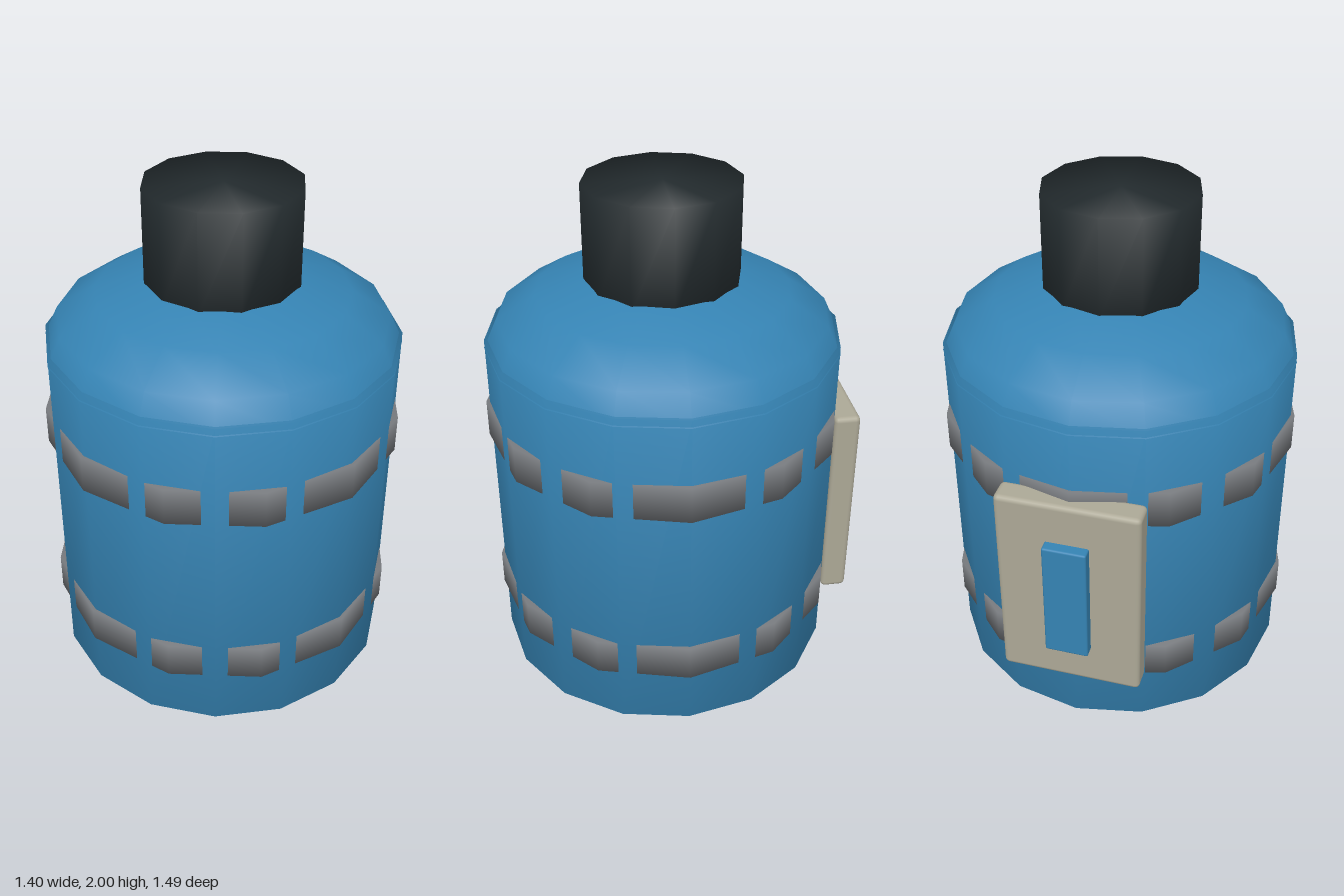
import * as THREE from 'three';
import { mergeVertices } from 'three/addons/utils/BufferGeometryUtils.js';
import { RoundedBoxGeometry } from 'three/addons/geometries/RoundedBoxGeometry.js';

const blue = new THREE.MeshStandardMaterial({ color: 0x3583b3 });
const dark = new THREE.MeshStandardMaterial({ color: 0x232b2e });
const steel = new THREE.MeshStandardMaterial({ color: 0x75787c });
const beige = new THREE.MeshStandardMaterial({ color: 0xaca896 });

// Share corners between walls and caps so the shading rolls over the edges
function smooth(geometry) {
  geometry.deleteAttribute('normal');
  geometry.deleteAttribute('uv');
  const merged = mergeVertices(geometry, 1e-4);
  merged.computeVertexNormals();
  return merged;
}

export function createModel() {
  const group = new THREE.Group();
  const axisZ = 0.04;

  const add = (name, geometry, material, y, z) => {
    const mesh = new THREE.Mesh(geometry, material);
    mesh.name = name;
    mesh.position.set(0, y, z);
    group.add(mesh);
    return mesh;
  };
  const drum = (name, radius, y0, y1, sides, material) =>
    add(name, smooth(new THREE.CylinderGeometry(radius, radius, y1 - y0, sides)),
      material, (y0 + y1) / 2, axisZ);

  // Tank with a flattened dome as its shoulder
  drum('tankBody', 0.688, 0, 1.4, 16, blue);
  const dome = new THREE.SphereGeometry(0.69, 16, 4, 0, Math.PI * 2, 0, Math.PI / 2);
  dome.scale(1, 0.293 / 0.69, 1);
  add('shoulderDome', smooth(dome), blue, 1.368, axisZ);

  // Cap on the neck
  drum('neckCap', 0.3, 1.6, 2, 12, dark);

  // Coarser bands, through which the corners of the tank show
  drum('lowerBand', 0.702, 0.225, 0.375, 12, steel);
  drum('upperBand', 0.702, 0.98, 1.13, 12, steel);

  // Plate and raised panel on the back
  add('backPlate', new RoundedBoxGeometry(0.555, 0.845, 0.104, 2, 0.02), beige, 0.667, -0.65);
  add('backPanel', new RoundedBoxGeometry(0.17, 0.505, 0.08, 2, 0.008), blue, 0.668, -0.705);

  return group;
}
